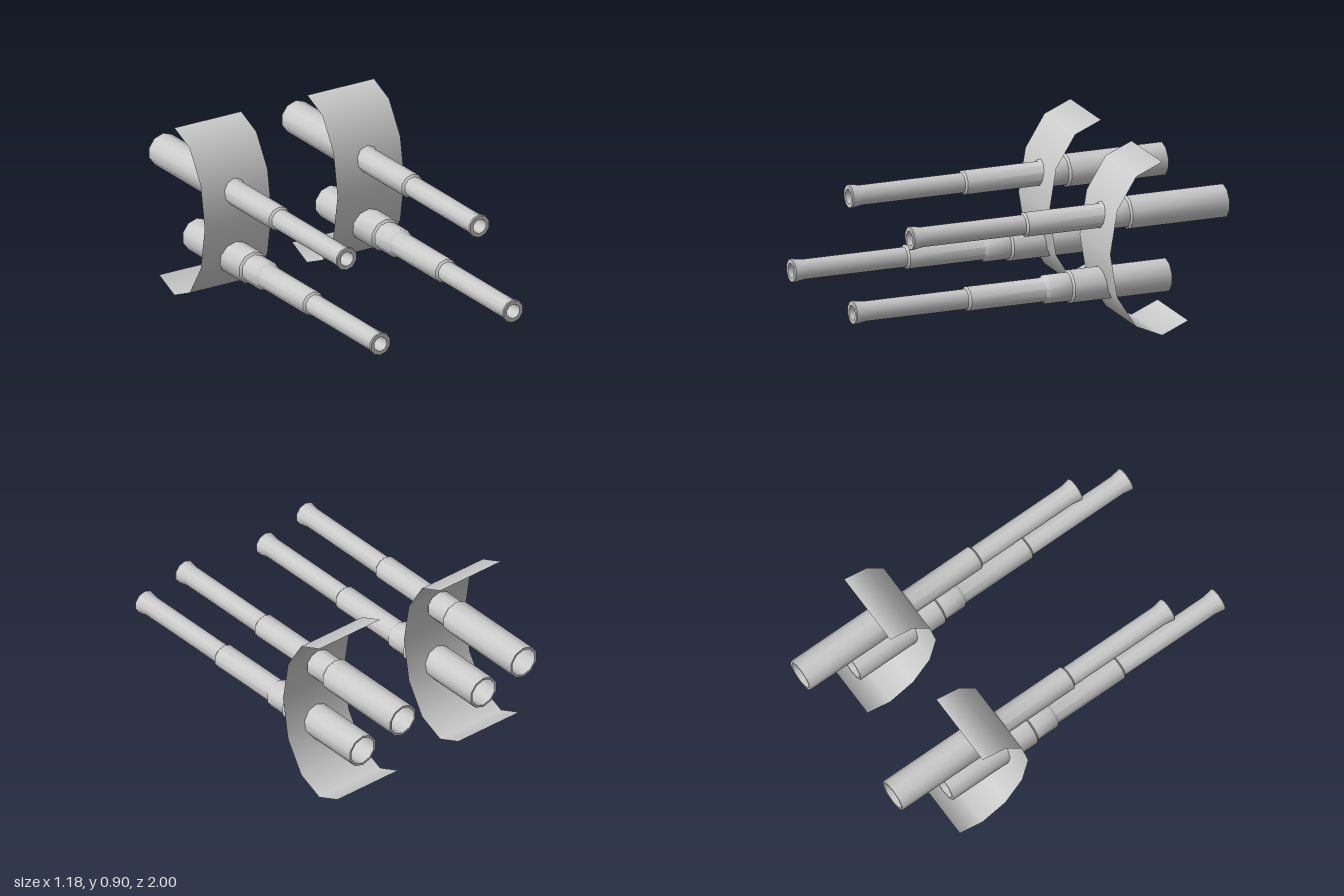
import * as THREE from 'three';
import { toCreasedNormals } from 'three/addons/utils/BufferGeometryUtils.js';

const RAD = Math.PI / 180;

// Stepped hollow barrel along z: [radius, z], from the rear socket floor to the bore floor
const BARREL_PROFILE = [
  [0, -0.7], [0.072, -0.7], [0.075, -1],                        // rear socket
  [0.087, -1], [0.087, -0.48], [0.076, -0.47],                  // thick breech
  [0.076, -0.35], [0.064, -0.335],                              // collar
  [0.064, 0.07], [0.053, 0.08],                                 // middle tube
  [0.053, 0.63], [0.062, 0.685], [0.058, 0.69], [0.038, 0.69],  // slim tube and flared muzzle
  [0.036, 0.6], [0, 0.57],                                      // bore
];

function barrelGeometry() {
  const points = BARREL_PROFILE.map(([r, z]) => new THREE.Vector2(r, z));
  const geometry = new THREE.LatheGeometry(points, 10);
  geometry.rotateX(Math.PI / 2);
  return toCreasedNormals(geometry, 40 * RAD);
}

// Thin curved plate: part of an elliptical cylinder lying along x
function shieldGeometry() {
  const geometry = new THREE.CylinderGeometry(1, 1, 0.395, 7, 1, true, -120 * RAD, 210 * RAD);
  geometry.rotateZ(Math.PI / 2);
  geometry.scale(1, 0.45, 0.28);
  return geometry;
}

export function createModel() {
  const model = new THREE.Group();
  const metal = new THREE.MeshStandardMaterial({ color: 0xcccccc });
  const plate = new THREE.MeshStandardMaterial({ color: 0xcccccc, side: THREE.DoubleSide });
  const barrel = barrelGeometry();
  const shield = shieldGeometry();

  const add = (group, name, geometry, material, y, z) => {
    const mesh = new THREE.Mesh(geometry, material);
    mesh.name = name;
    mesh.position.set(0, y, z);
    group.add(mesh);
  };

  // Two matching mounts, each with a shield and two staggered barrels
  for (const [name, side] of [['leftMount', 1], ['rightMount', -1]]) {
    const mount = new THREE.Group();
    mount.name = name;
    mount.position.x = side * 0.392;
    add(mount, 'shield', shield, plate, 0.45, -0.59);
    add(mount, 'upperBarrel', barrel, metal, 0.597, 0);
    add(mount, 'lowerBarrel', barrel, metal, 0.248, 0.31);
    model.add(mount);
  }
  return model;
}
